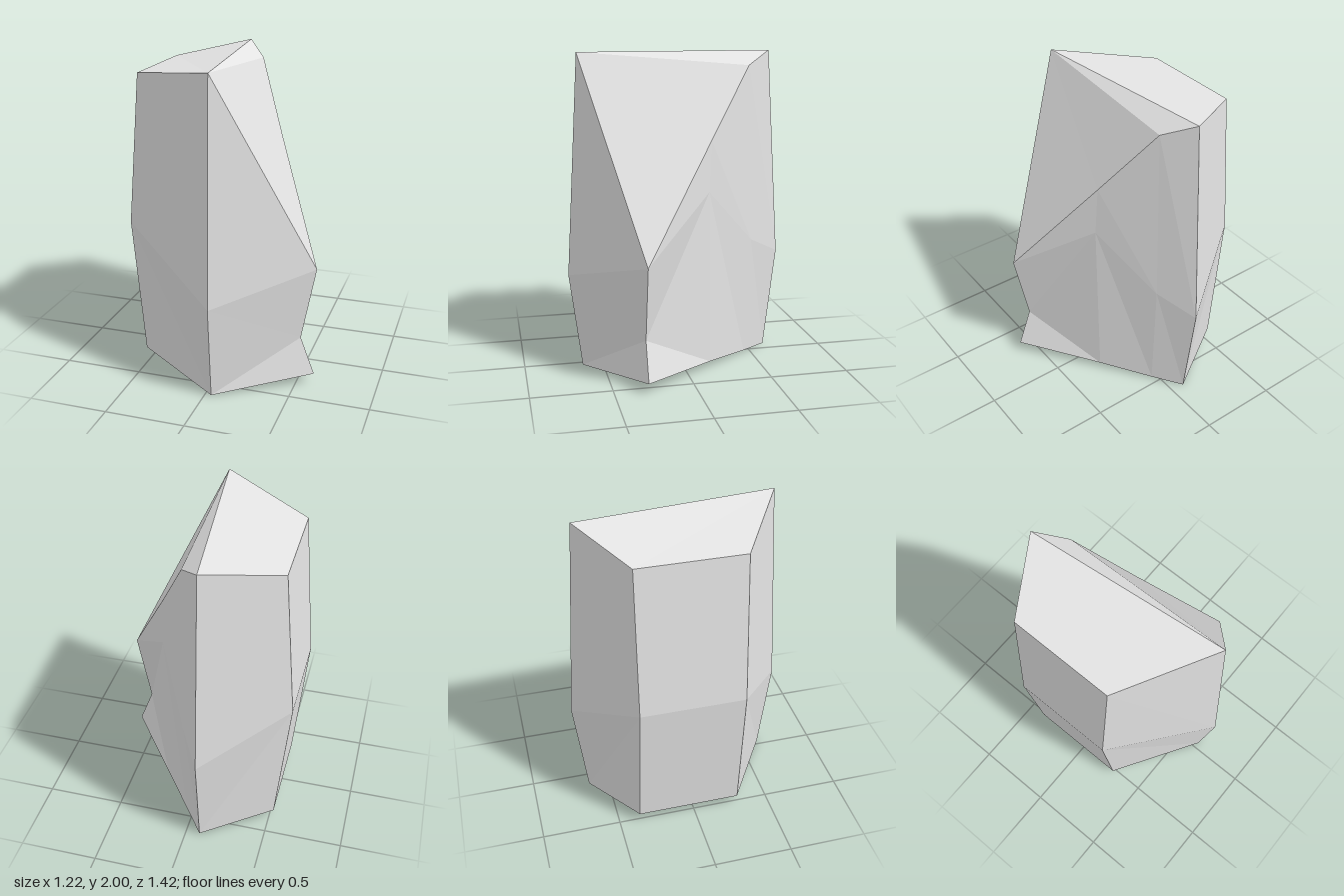
import * as THREE from 'three';

// Corner columns, anticlockwise seen from above; each runs bottom, waist, top.
const columns = {
  leftBack: [[-0.53, 0.07, -0.37], [-0.61, 0.95, -0.37], [-0.53, 1.91, -0.37]],
  leftFront: [[-0.53, 0.07, 0.29], [-0.61, 0.95, 0.29], [-0.53, 1.91, 0.29]],
  front: [[0.04, 0, 0.63], [0.05, 0.61, 0.71], [0.04, 2, 0.63]],
  spur: [[0.61, 0.07, 0.30], [0.52, 0.31, 0.30], [0.61, 0.78, 0.30]],
  flank: [[0.26, 0.04, -0.165], [0.27, 1.15, -0.15], [0.26, 1.47, -0.165]],
  shoulder: [[0.04, 0.01, -0.455], [0.05, 0.78, -0.49], [0.045, 1.91, -0.46]],
  back: [[-0.09, 0, -0.63], [-0.09, 0.66, -0.71], [-0.09, 2, -0.63]],
};

function facetedMesh(name, triangles, material) {
  const geometry = new THREE.BufferGeometry();
  geometry.setAttribute('position', new THREE.Float32BufferAttribute(triangles.flat(2), 3));
  geometry.computeVertexNormals();
  const mesh = new THREE.Mesh(geometry, material);
  mesh.name = name;
  return mesh;
}

export function createModel() {
  const group = new THREE.Group();
  group.name = 'rock';
  const stone = new THREE.MeshStandardMaterial({ color: 0xe4e4e4, flatShading: true });
  stone.name = 'pale grey stone';

  // Sides: two facet rows between neighbouring columns
  const names = Object.keys(columns);
  const flipped = ['leftFront', 'spur', 'flank', 'shoulder'];
  const sides = [];
  names.forEach((name, i) => {
    const a = columns[name];
    const b = columns[names[(i + 1) % names.length]];
    for (let r = 0; r < 2; r++) {
      if (flipped.includes(name)) sides.push([a[r], b[r], a[r + 1]], [b[r], b[r + 1], a[r + 1]]);
      else sides.push([a[r], b[r], b[r + 1]], [a[r], b[r + 1], a[r + 1]]);
    }
  });
  group.add(facetedMesh('sides', sides, stone));

  // Gently sloped crown and the steep broken face beside it
  const [lb, lf, f, s, fl, sh, b] = names.map((n) => columns[n][2]);
  group.add(facetedMesh('crown', [[lb, lf, f], [lb, f, b], [b, f, sh]], stone));
  group.add(facetedMesh('brokenSlope', [[f, s, fl], [f, fl, sh]], stone));

  // Underside, ridged from front to back
  const [lb0, lf0, f0, s0, fl0, sh0, b0] = names.map((n) => columns[n][0]);
  group.add(facetedMesh('underside', [
    [lb0, f0, lf0], [lb0, b0, f0], [f0, b0, sh0], [f0, sh0, fl0], [f0, fl0, s0],
  ], stone));

  return group;
}
